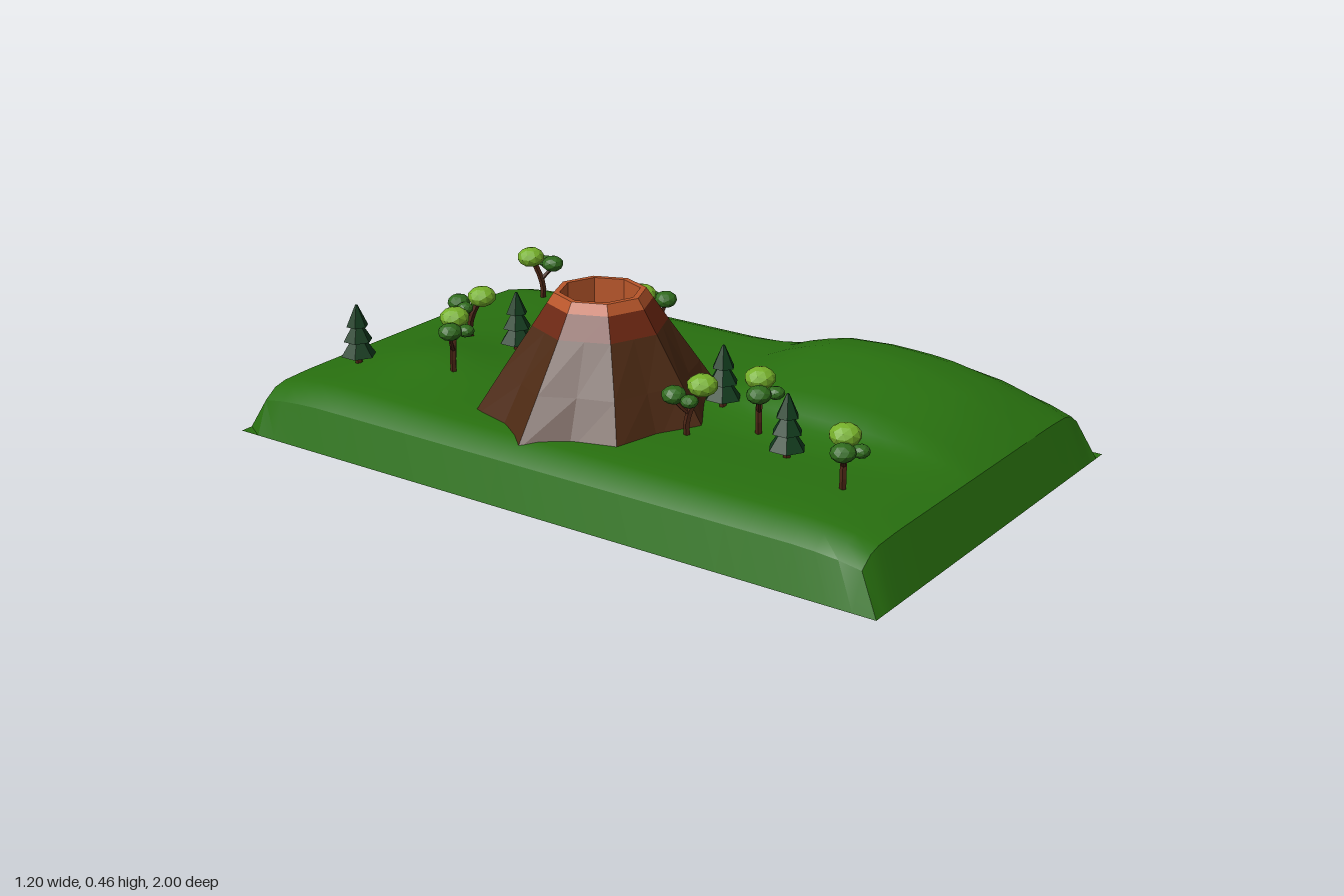
import * as THREE from 'three';
import { toCreasedNormals, mergeGeometries } from 'three/addons/utils/BufferGeometryUtils.js';

function material(name, color, side = THREE.FrontSide) {
  const m = new THREE.MeshStandardMaterial({ color, side });
  m.name = name;
  return m;
}

// Smooth interpolation through [position, value] pairs
function profile(points, t) {
  if (t <= points[0][0]) return points[0][1];
  for (let i = 1; i < points.length; i++) {
    const [a, u] = points[i - 1], [b, v] = points[i];
    if (t <= b) return u + (v - u) * (t - a) / (b - a);
  }
  return points[points.length - 1][1];
}

const HILL_X = [[-0.16, 0], [-0.06, 0.2], [0, 0.58], [0.1, 0.75], [0.2, 0.91], [0.3, 1], [0.4, 0.92], [0.46, 0.78], [0.525, 0.4], [0.5625, 0.05]];
const HILL_Z = [[-0.05, 0], [0.1, 0.2], [0.2, 0.6], [0.3, 0.9], [0.45, 1], [0.6, 0.92], [0.75, 0.6], [0.85, 0.3], [0.9375, 0]];
const EDGE_X = [[0.4, 1], [0.49, 0.97], [0.525, 0.9], [0.5625, 0.7], [0.6, 0]];
const EDGE_Z = [[0.78, 1], [0.875, 0.93], [0.9375, 0.84], [1, 0]];

function groundHeight(x, z) {
  const hill = 0.11 * profile(HILL_X, x) * profile(HILL_Z, z);
  const rise = 0.035 * Math.exp(-((x + 0.2) ** 2) / 0.03 - ((z + 0.6) ** 2) / 0.03);
  return (0.156 + hill + rise) * profile(EDGE_X, Math.abs(x)) * profile(EDGE_Z, Math.abs(z));
}

function flat(geometry) {
  const g = geometry.index ? geometry.toNonIndexed() : geometry;
  g.computeVertexNormals();
  return g;
}

export function createModel() {
  const model = new THREE.Group();
  const grass = material('grass green', 0x28700f, THREE.DoubleSide);
  const rock = material('rock brown', 0x4c2913);
  const redRock = material('red rock', 0x6b2610);
  const lava = material('orange rim', 0xb9562a);
  const bark = material('bark', 0x4a2414);
  const lightLeaf = material('light leaf', 0x76b02a);
  const darkLeaf = material('dark leaf', 0x2f6a1c);
  const pineLeaf = material('pine green', 0x103a1c);

  function add(parent, name, geometry, mat, x = 0, y = 0, z = 0) {
    const mesh = new THREE.Mesh(geometry, mat);
    mesh.name = name;
    mesh.position.set(x, y, z);
    parent.add(mesh);
    return mesh;
  }

  // Ground: a grid raised by the height rule, dropping to zero at its border
  const ground = new THREE.PlaneGeometry(1.2, 2, 32, 32).rotateX(-Math.PI / 2);
  const gp = ground.attributes.position;
  for (let i = 0; i < gp.count; i++) gp.setY(i, groundHeight(gp.getX(i), gp.getZ(i)));
  add(model, 'ground', toCreasedNormals(ground, 0.5), grass);

  // Volcano: stacked rings with eight ridges, notched more deeply near the foot
  const volcano = new THREE.Group();
  volcano.name = 'volcano';
  volcano.position.set(-0.17, 0, -0.09);
  model.add(volcano);
  function ridge(geometry) {
    const p = geometry.attributes.position;
    for (let i = 0; i < p.count; i++) {
      const x = p.getX(i), y = p.getY(i), z = p.getZ(i);
      const step = Math.round(Math.atan2(x, z) / (Math.PI / 8));
      const notch = profile([[0.13, 0.865], [0.37, 0.924]], y);
      const f = step % 2 ? notch : 1;
      p.setXYZ(i, x * f, y, z * f * profile([[0.13, 0.94], [0.37, 1]], y));
    }
    return flat(geometry);
  }
  function band(y0, r0, y1, r1) {
    const g = new THREE.CylinderGeometry(r1, r0, y1 - y0, 16, 1, true);
    return ridge(g.translate(0, (y0 + y1) / 2, 0));
  }
  function disc(r, y, up) {
    const g = new THREE.CircleGeometry(r, 16).rotateX(up ? -Math.PI / 2 : Math.PI / 2);
    return ridge(g.translate(0, y, 0));
  }
  add(volcano, 'lowerSlope', mergeGeometries([
    band(0.13, 0.358, 0.25, 0.27), band(0.25, 0.27, 0.375, 0.18), disc(0.358, 0.13, false),
  ].map((g) => { g.deleteAttribute('uv'); return g; })), rock);
  add(volcano, 'upperSlope', band(0.375, 0.18, 0.435, 0.14), redRock);
  add(volcano, 'outerRim', band(0.435, 0.14, 0.462, 0.122), lava);
  // Crater: rim top, inner wall facing inward and the floor
  const rimTop = ridge(new THREE.RingGeometry(0.106, 0.122, 16).rotateX(-Math.PI / 2).translate(0, 0.462, 0));
  add(volcano, 'rimTop', rimTop, lava);
  const wall = new THREE.CylinderGeometry(0.106, 0.104, 0.082, 16, 1, true).translate(0, 0.421, 0);
  const wi = wall.index;
  for (let i = 0; i < wi.count; i += 3) {
    const a = wi.getX(i);
    wi.setX(i, wi.getX(i + 1));
    wi.setX(i + 1, a);
  }
  add(volcano, 'craterWall', ridge(wall), lava);
  add(volcano, 'craterFloor', disc(0.106, 0.38, true), redRock);

  // Pines: a short trunk under three six-sided tiers
  const tiers = [[0.05, 0.065, 0.055], [0.041, 0.06, 0.095], [0.031, 0.06, 0.137]];
  for (const [x, z] of [[-0.325, -0.81], [0, -0.51], [-0.055, 0.22], [-0.22, 0.52]]) {
    const pine = new THREE.Group();
    pine.name = 'pine';
    pine.position.set(x, groundHeight(x, z), z);
    add(pine, 'pineTrunk', flat(new THREE.CylinderGeometry(0.009, 0.011, 0.06, 6)), bark, 0, 0.015, 0);
    for (const [r, h, y] of tiers) {
      add(pine, 'pineTier', flat(new THREE.CylinderGeometry(r * 0.12, r, h, 6)), pineLeaf, 0, y, 0);
    }
    model.add(pine);
  }

  // Leafy trees: bent trunk, a light crown and two darker side clumps.
  // Each row is x, z of the light crown, then the offset to the dark clump.
  function clump(parent, name, mat, r, x, y, z) {
    const mesh = add(parent, name, flat(new THREE.IcosahedronGeometry(r, 1)), mat, x, y, z);
    mesh.scale.set(1, 0.72, 1);
    mesh.rotation.y = x * 40;
  }
  const trees = [
    [0.41, -0.785, 0.035, 0.055, 0.115], [0.03, -0.66, -0.03, -0.06, 0.11],
    [-0.24, -0.53, -0.055, 0.03, 0.13], [0.26, -0.265, 0.05, 0.045, 0.135],
    [-0.21, 0.26, -0.055, -0.05, 0.12], [-0.105, 0.365, -0.06, 0.035, 0.125],
    [-0.28, 0.72, -0.06, 0.03, 0.115],
  ];
  for (const [x, z, dx, dz, h] of trees) {
    const tree = new THREE.Group();
    tree.name = 'leafyTree';
    tree.position.set(x, groundHeight(x + dx / 2, z + dz / 2), z);
    const v = (fx, y) => new THREE.Vector3(dx * fx, y, dz * fx);
    const stem = new THREE.CatmullRomCurve3([v(0.5, -0.02), v(0.55, 0.03), v(0.4, 0.07), v(0.1, h)]);
    add(tree, 'trunk', flat(new THREE.TubeGeometry(stem, 6, 0.009, 5)), bark);
    const branch = new THREE.CatmullRomCurve3([v(0.45, 0.055), v(0.8, 0.08), v(1, h - 0.02)]);
    add(tree, 'branch', flat(new THREE.TubeGeometry(branch, 4, 0.006, 5)), bark);
    clump(tree, 'lightCrown', lightLeaf, 0.041, 0, h + 0.01, 0);
    clump(tree, 'darkClump', darkLeaf, 0.033, dx, h - 0.01, dz);
    clump(tree, 'smallClump', darkLeaf, 0.024, dx * 0.6 + dz * 0.6, h - 0.014, dz * 0.6 - dx * 0.6);
    model.add(tree);
  }
  return model;
}
